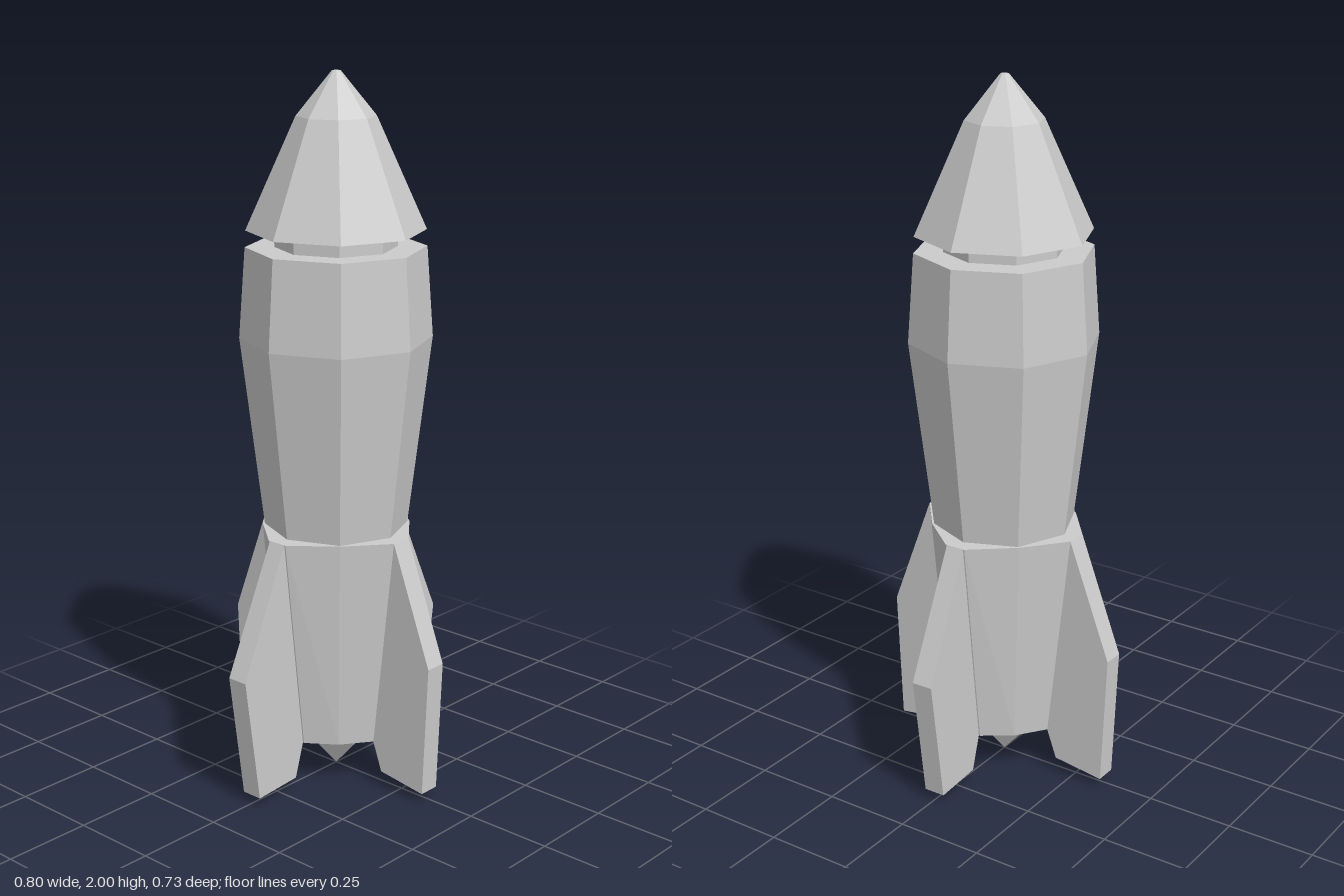
import * as THREE from 'three';
import { ConvexGeometry } from 'three/addons/geometries/ConvexGeometry.js';

const material = new THREE.MeshStandardMaterial({ color: 0xcccccc, flatShading: true });
const HALF = 0.031; // half thickness of a fin

function part(name, geometry) {
  const mesh = new THREE.Mesh(geometry, material);
  mesh.name = name;
  return mesh;
}

// Faceted solid of revolution; profile is [radius, y] from bottom to top
function turned(name, sides, profile) {
  const points = profile.map(([r, y]) => new THREE.Vector2(r, y));
  return part(name, new THREE.LatheGeometry(points, sides));
}

// Twelve-sided ring: a narrow flat for each fin and a shallow corner between them
function skirtRing(y, reach, corner) {
  const ring = [];
  for (let k = 0; k < 4; k++) {
    for (const [x, z] of [[reach, -HALF], [reach, HALF], [corner, corner]]) {
      ring.push(new THREE.Vector3(x, y, z).applyAxisAngle(new THREE.Vector3(0, 1, 0), k * Math.PI / 2));
    }
  }
  return ring;
}

// Flat fin standing outwards along +x, slightly thinner at the root
function fin(name, outline, angle, rootHalf) {
  const shape = new THREE.Shape(outline.map(([x, y]) => new THREE.Vector2(x, y)));
  const geometry = new THREE.ExtrudeGeometry(shape, { depth: 2, bevelEnabled: false });
  geometry.translate(0, 0, -1);
  const pos = geometry.attributes.position;
  for (let i = 0; i < pos.count; i++) {
    const half = pos.getX(i) < 0.3 ? rootHalf : HALF;
    pos.setZ(i, pos.getZ(i) * half);
  }
  geometry.computeVertexNormals();
  const mesh = part(name, geometry);
  mesh.rotation.y = angle;
  return mesh;
}

export function createModel() {
  const group = new THREE.Group();
  group.name = 'rocket';

  // Hull, neck and nose
  group.add(turned('body', 8, [[0, 0.7], [0.197, 0.7], [0.2, 0.74], [0.265, 1.28], [0.247, 1.53], [0, 1.53]]));
  group.add(turned('neck', 8, [[0.167, 1.52], [0.167, 1.58]]));
  group.add(turned('noseCone', 8, [[0, 1.575], [0.245, 1.575], [0.108, 1.88], [0.012, 1.998], [0, 2]]));

  // Tail skirt and the pointed nozzle under it
  group.add(part('tailSkirt', new ConvexGeometry([
    ...skirtRing(0.745, 0.24, 0.146),
    ...skirtRing(0.135, 0.17, 0.112),
  ])));
  group.add(turned('nozzle', 4, [[0, 0.005], [0.09, 0.105], [0.14, 0.137], [0, 0.137]]));

  // Fins: the side pair is wider than the front and back pair
  const sideFin = [[0.24, 0.745], [0.17, 0.135], [0.2, 0.037], [0.35, 0.03], [0.4, 0.39]];
  const endFin = [[0.24, 0.745], [0.17, 0.135], [0.2, 0.052], [0.35, 0.032], [0.367, 0.41]];
  group.add(fin('leftFin', sideFin, 0, 0.027));
  group.add(fin('rightFin', sideFin, Math.PI, 0.027));
  group.add(fin('frontFin', endFin, -Math.PI / 2, HALF));
  group.add(fin('backFin', endFin, Math.PI / 2, HALF));
  return group;
}
